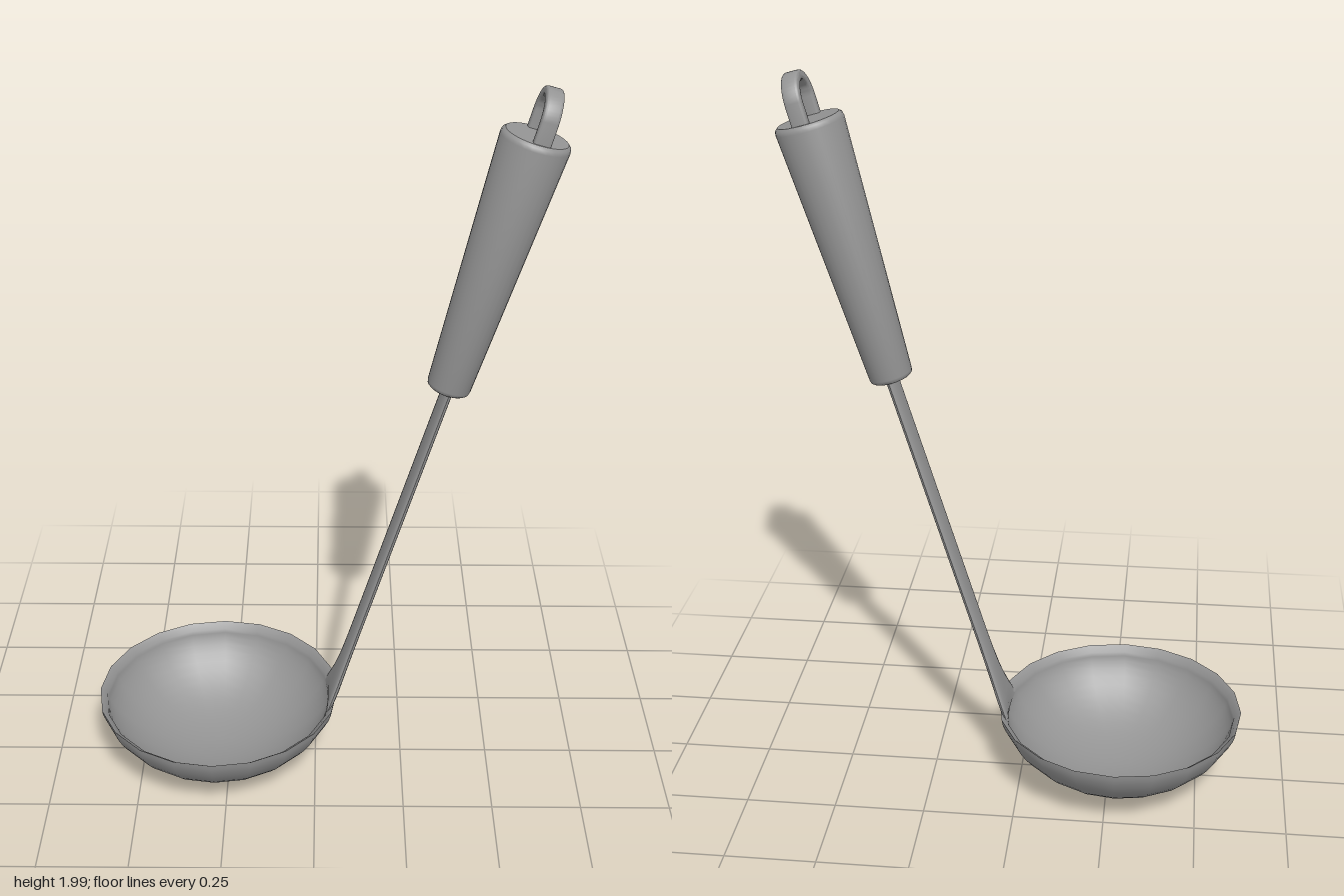
import * as THREE from 'three';
import { toCreasedNormals } from 'three/addons/utils/BufferGeometryUtils.js';

const material = new THREE.MeshStandardMaterial({ color: 0x949494, side: THREE.DoubleSide });

function part(name, geometry, parent, crease = 0.7) {
  const mesh = new THREE.Mesh(toCreasedNormals(geometry, crease), material);
  mesh.name = name;
  parent.add(mesh);
  return mesh;
}

// Arc of a shallow bowl, between a spherical cap and an ellipse, from centre to rim
function bowlArc(radius, depth, rimY, steps = 14) {
  const R = (radius * radius + depth * depth) / (2 * depth);
  const points = [];
  for (let i = 0; i <= steps; i++) {
    const r = radius * Math.sin((i / steps) * Math.PI / 2);
    const cap = R - depth - Math.sqrt(R * R - r * r);
    const ellipse = -depth * Math.sqrt(Math.max(0, 1 - (r / radius) ** 2));
    points.push(new THREE.Vector2(r, rimY + 0.5 * (cap + ellipse)));
  }
  return points;
}

// Flat oval stem lofted through rings of [y, half width, half thickness];
// the lowest rings bend around the bowl's rim
function stemGeometry() {
  const rings = [[0.195, 0.09, 0.007], [0.22, 0.083, 0.013], [0.25, 0.073, 0.014],
    [0.28, 0.063, 0.014], [0.32, 0.054, 0.014], [0.37, 0.048, 0.014], [0.43, 0.045, 0.014],
    [0.8, 0.045, 0.014], [1.23, 0.045, 0.014]];
  const sides = 20, positions = [], index = [];
  rings.forEach(([y, halfWidth, halfThickness], j) => {
    const x = 0.05 + (y - 0.22) * 0.301;
    const bend = Math.max(0, 1 - (y - 0.195) / 0.2) * 1.6;
    for (let i = 0; i < sides; i++) {
      const a = (i / sides) * Math.PI * 2;
      const z = halfWidth * Math.sin(a);
      positions.push(x + halfThickness * Math.cos(a) - bend * z * z, y, z);
      if (j === 0) continue;
      const k = (i + 1) % sides, low = (j - 1) * sides, high = j * sides;
      index.push(low + i, high + i, low + k, high + i, high + k, low + k);
    }
  });
  const geometry = new THREE.BufferGeometry();
  geometry.setAttribute('position', new THREE.Float32BufferAttribute(positions, 3));
  geometry.setIndex(index);
  return geometry;
}

// Arch outline: two straight legs joined by a half circle
function archPath(PathType, radius, legBottom, centreY) {
  const path = new PathType();
  path.moveTo(radius, legBottom);
  path.lineTo(radius, centreY);
  path.absarc(0, centreY, radius, 0, Math.PI, false);
  path.lineTo(-radius, legBottom);
  return path;
}

export function createModel() {
  const model = new THREE.Group();
  model.name = 'ladle';

  // Bowl: outer shell, then a lip that slopes smoothly into the inner shell
  const outer = bowlArc(0.342, 0.218, 0.221);
  const inner = bowlArc(0.323, 0.188, 0.205).reverse();
  part('bowl', new THREE.LatheGeometry([...outer, ...inner], 20), model, 0.95).position.x = -0.279;

  // Stem flaring out where it meets the bowl
  part('stem', stemGeometry(), model);

  // Tilted handle
  const handle = new THREE.Group();
  handle.name = 'handle';
  handle.position.set(0.344, 1.198, 0);
  handle.rotation.z = -0.27;
  model.add(handle);

  // Tapered round grip with softened ends
  const profile = [[0, 0], [0.051, 0], [0.056, 0.004], [0.058, 0.012], [0.089, 0.688],
    [0.087, 0.698], [0.08, 0.704], [0, 0.704]];
  part('grip', new THREE.LatheGeometry(profile.map(p => new THREE.Vector2(...p)), 28), handle);

  // Hanging loop: a flat band bent into an arch
  const bevel = 0.007, depth = 0.03;
  const band = archPath(THREE.Shape, 0.075 - bevel, 0.69, 0.75);
  const legs = archPath(THREE.Path, 0.05 + bevel, 0.69, 0.75).getPoints(12).reverse();
  legs.forEach(p => band.lineTo(p.x, p.y));
  band.closePath();
  const loop = new THREE.ExtrudeGeometry(band, {
    depth, curveSegments: 12, bevelThickness: bevel, bevelSize: bevel, bevelSegments: 3,
  });
  loop.translate(0, 0, -depth / 2).rotateY(Math.PI / 2);
  part('hangingLoop', loop, handle).position.x = 0.004;

  return model;
}
